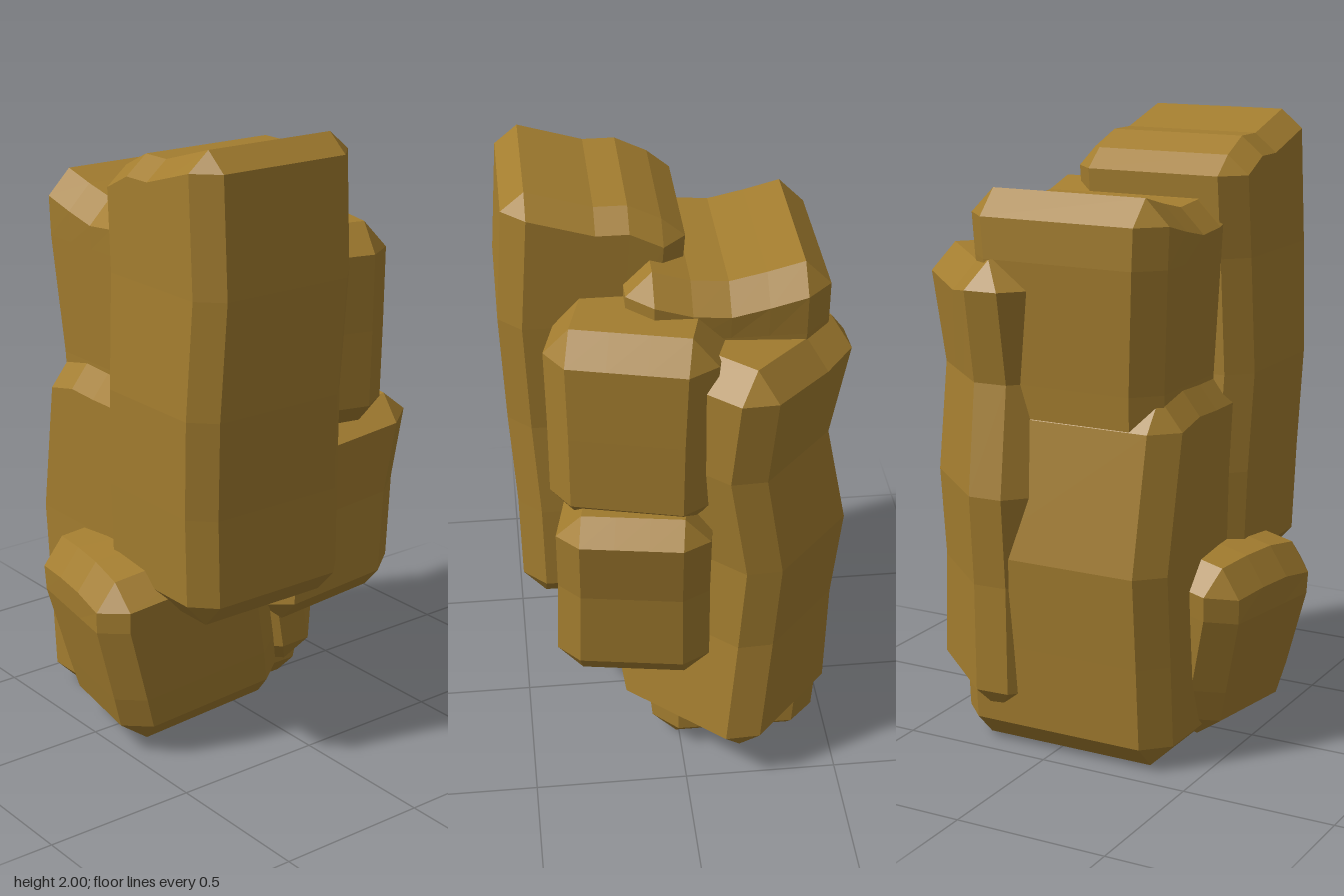
import * as THREE from 'three';

const rock = new THREE.MeshStandardMaterial({ color: 0xa37d2f, flatShading: true });
rock.name = 'ochre rock';

// One chamfered stone, lofted upward through rows of [y, left, right, back, front].
// c is the chamfer, wave lifts or lowers the top along x, slope tips it along z.
function stone(name, rows, { c = 0.08, wave = [0, 0, 0, 0], slope = 0, pos = [0, 0, 0], yaw = 0, pitch = 0 } = {}) {
  const n = wave.length;
  const rings = rows.map(([y, xl, xr, zb, zf], r) => {
    const cap = r === 0 || r === rows.length - 1;
    const top = r >= rows.length - 2 ? 1 : 0;
    const inset = cap ? c : 0;
    const point = (x, z, i) => new THREE.Vector3(x, y + top * wave[i] + slope * z, z);
    const columnX = (i) => xl + c + ((xr - xl - 2 * c) * i) / (n - 1);
    const ring = [];
    for (let i = 0; i < n; i++) ring.push(point(columnX(i), zf - inset, i));
    ring.push(point(xr - inset, zf - c, n - 1), point(xr - inset, zb + c, n - 1));
    for (let i = n - 1; i >= 0; i--) ring.push(point(columnX(i), zb + inset, i));
    ring.push(point(xl + inset, zb + c, 0), point(xl + inset, zf - c, 0));
    return ring;
  });

  const positions = [];
  const triangle = (p, q, s) => {
    if (Math.min(p.distanceTo(q), q.distanceTo(s), s.distanceTo(p)) < 1e-5) return;
    for (const v of [p, q, s]) positions.push(v.x, v.y, v.z);
  };
  const quad = (p, q, s, t) => { triangle(p, q, s); triangle(p, s, t); };

  // Sides and chamfers
  for (let r = 0; r < rings.length - 1; r++) {
    const a = rings[r], b = rings[r + 1];
    for (let i = 0; i < a.length; i++) {
      const j = (i + 1) % a.length;
      quad(a[i], a[j], b[j], b[i]);
    }
  }
  // Top and bottom
  const back = (i) => 2 * n + 1 - i;
  const lo = rings[0], hi = rings[rings.length - 1];
  for (let i = 0; i < n - 1; i++) {
    quad(hi[i], hi[i + 1], hi[back(i + 1)], hi[back(i)]);
    quad(lo[i + 1], lo[i], lo[back(i)], lo[back(i + 1)]);
  }

  const geometry = new THREE.BufferGeometry();
  geometry.setAttribute('position', new THREE.Float32BufferAttribute(positions, 3));
  geometry.computeVertexNormals();
  const mesh = new THREE.Mesh(geometry, rock);
  mesh.name = name;
  mesh.position.set(...pos);
  mesh.rotation.set(pitch, yaw, 0, 'YXZ');
  return mesh;
}

export function createModel() {
  const group = new THREE.Group();
  group.name = 'rockPillar';

  group.add(
    // Tall stone at the front right
    stone('tallFrontStone', [
      [0.51, -0.03, 0.50, -0.16, 0.44],
      [0.59, -0.03, 0.50, -0.16, 0.44],
      [0.88, -0.03, 0.505, -0.155, 0.45],
      [1.20, -0.01, 0.525, -0.14, 0.46],
      [1.57, -0.015, 0.54, -0.155, 0.445],
      [1.94, -0.035, 0.515, -0.16, 0.44],
      [2.00, -0.035, 0.515, -0.16, 0.44],
    ], { c: 0.072, wave: [-0.11, -0.06, -0.06, -0.03, 0] }),

    // Upper left stone, sunk into the base
    stone('upperLeftStone', [
      [0.62, -0.40, 0.14, -0.28, 0.34],
      [0.70, -0.40, 0.14, -0.28, 0.34],
      [1.20, -0.43, 0.13, -0.28, 0.35],
      [1.59, -0.46, 0.16, -0.30, 0.375],
      [1.72, -0.46, 0.16, -0.31, 0.38],
      [1.80, -0.46, 0.16, -0.31, 0.38],
    ], { wave: [0, -0.03, -0.055, -0.045, -0.01] }),

    // Broad base stone
    stone('baseStone', [
      [0.00, -0.455, 0.09, -0.35, 0.40],
      [0.08, -0.455, 0.09, -0.35, 0.40],
      [0.35, -0.475, 0.09, -0.35, 0.40],
      [0.65, -0.50, 0.08, -0.33, 0.40],
      [1.10, -0.425, 0.09, -0.32, 0.41],
      [1.20, -0.425, 0.09, -0.32, 0.41],
    ], { wave: [-0.01, 0.015, 0.01, 0.01] }),

    // Low stone leaning forward at the front
    stone('lowFrontStone', [
      [-0.31, -0.24, 0.24, -0.30, 0.28],
      [-0.23, -0.24, 0.24, -0.30, 0.28],
      [-0.12, -0.255, 0.255, -0.30, 0.29],
      [0.14, -0.28, 0.27, -0.30, 0.31],
      [0.22, -0.285, 0.275, -0.30, 0.30],
      [0.30, -0.285, 0.275, -0.30, 0.30],
    ], { wave: [0, 0.01, 0.01, -0.01], pos: [0.045, 0.37, 0.25], yaw: -0.165, pitch: 0.17 }),

    // Long slab turned across the back left corner
    stone('backLeftSlab', [
      [0.11, -0.25, 0.29, -0.27, 0.30],
      [0.19, -0.25, 0.29, -0.27, 0.30],
      [0.55, -0.26, 0.24, -0.275, 0.30],
      [0.85, -0.29, 0.23, -0.295, 0.30],
      [1.20, -0.23, 0.27, -0.255, 0.30],
      [1.50, -0.275, 0.28, -0.295, 0.30],
      [1.59, -0.275, 0.28, -0.295, 0.30],
    ], { wave: [0, -0.02, -0.01, 0], pos: [-0.18, 0, -0.195], yaw: 0.835 }),

    // Upper back stone
    stone('upperBackStone', [
      [1.00, -0.25, 0.26, -0.245, 0.25],
      [1.08, -0.25, 0.26, -0.245, 0.25],
      [1.33, -0.255, 0.26, -0.25, 0.25],
      [1.58, -0.265, 0.265, -0.25, 0.25],
      [1.67, -0.265, 0.265, -0.25, 0.25],
    ], { pos: [0.116, 0, -0.21], yaw: -0.25 }),

    // Middle back stone, sheared backward
    stone('middleBackStone', [
      [-0.35, -0.24, 0.25, -0.20, 0.28],
      [-0.27, -0.24, 0.25, -0.20, 0.28],
      [0.00, -0.24, 0.24, -0.22, 0.25],
      [0.22, -0.245, 0.235, -0.265, 0.20],
      [0.30, -0.245, 0.235, -0.265, 0.19],
    ], { slope: -0.18, pos: [0.14, 0.74, -0.29], yaw: -0.165 }),
  );
  return group;
}
